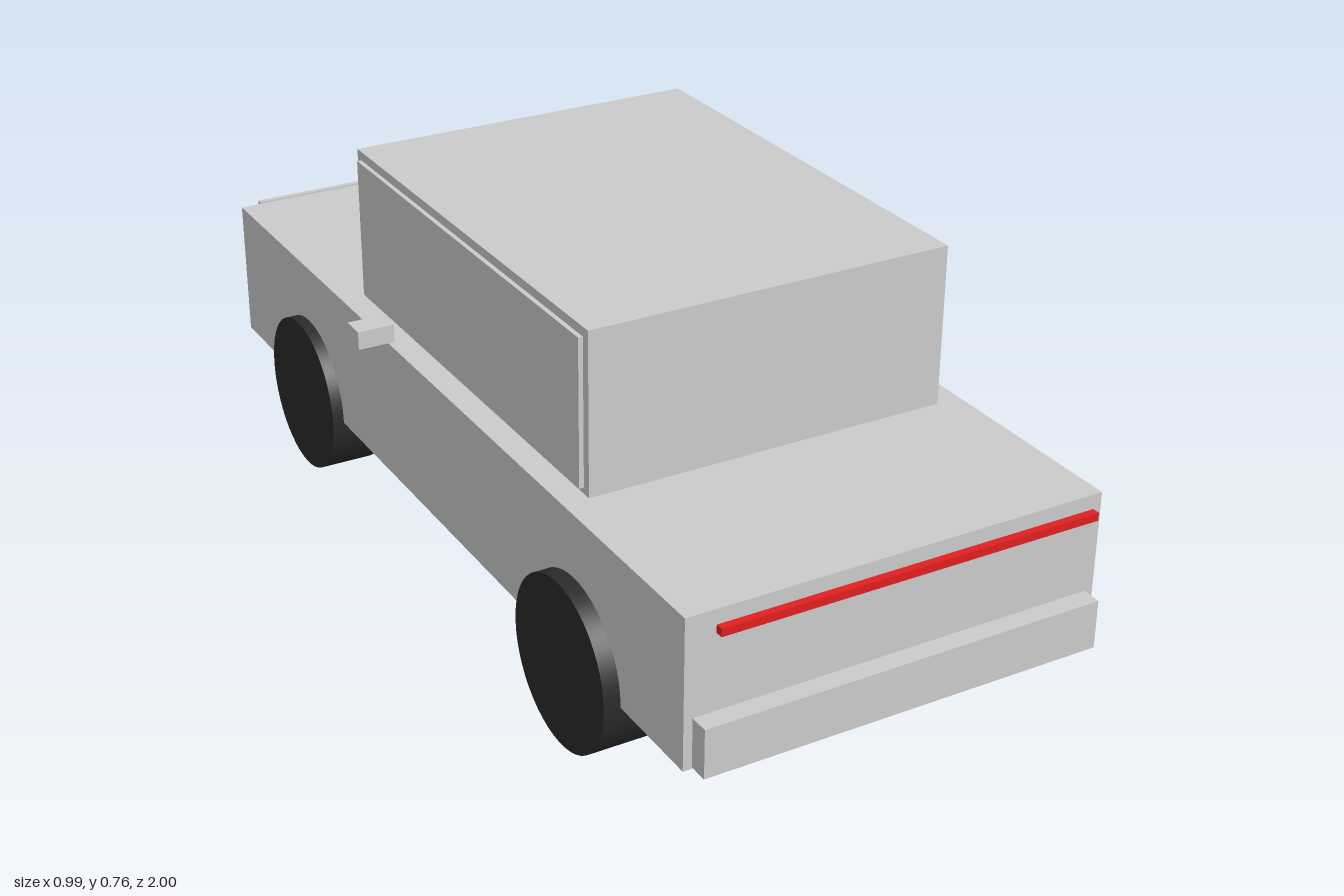
import * as THREE from 'three';

const paint = new THREE.MeshStandardMaterial({ color: 0xcccccc });
const rubber = new THREE.MeshStandardMaterial({ color: 0x2b2b2b });
const red = new THREE.MeshStandardMaterial({ color: 0xe02020 });

// Box given by its extents along each axis
function box(name, [x0, x1], [y0, y1], [z0, z1], material = paint) {
  const mesh = new THREE.Mesh(new THREE.BoxGeometry(x1 - x0, y1 - y0, z1 - z0), material);
  mesh.position.set((x0 + x1) / 2, (y0 + y1) / 2, (z0 + z1) / 2);
  mesh.name = name;
  return mesh;
}

// Wheel lying along x between two distances from the centre line
function wheel(name, side, inner, outer, z) {
  const radius = 0.1635;
  const geometry = new THREE.CylinderGeometry(radius, radius, outer - inner, 48).rotateZ(Math.PI / 2);
  const mesh = new THREE.Mesh(geometry, rubber);
  mesh.position.set(side * (inner + outer) / 2, radius, z);
  mesh.name = name;
  return mesh;
}

export function createModel() {
  const car = new THREE.Group();
  car.name = 'car';

  // Body and cabin
  car.add(
    box('body', [-0.413, 0.413], [0.16, 0.45], [-0.957, 0.957]),
    box('cabin', [-0.363, 0.363], [0.45, 0.765], [-0.398, 0.551]),
  );

  // Bumpers, light bars and the dark rear panel
  car.add(
    box('frontBumper', [-0.396, 0.396], [0.163, 0.258], [0.95, 0.995]),
    box('rearBumper', [-0.396, 0.396], [0.163, 0.258], [-0.995, -0.95]),
    box('frontLightBar', [-0.372, 0.372], [0.427, 0.442], [0.985, 1], red),
    box('rearLightBar', [-0.36, 0.36], [0.43, 0.442], [-0.997, -0.985]),
    box('rearPanel', [-0.275, 0.275], [0.218, 0.292], [-1, -0.977], rubber),
  );

  // Mirrored parts
  for (const [side, label] of [[1, 'left'], [-1, 'right']]) {
    const span = (a, b) => (side > 0 ? [a, b] : [-b, -a]);
    car.add(
      box(label + 'Window', span(0.355, 0.372), [0.462, 0.747], [-0.381, 0.533]),
      box(label + 'Mirror', span(0.42, 0.494), [0.475, 0.512], [-0.173, -0.123]),
      wheel(label + 'FrontWheel', side, 0.325, 0.445, 0.588),
      wheel(label + 'RearWheel', side, 0.325, 0.437, -0.59),
    );
  }
  return car;
}
